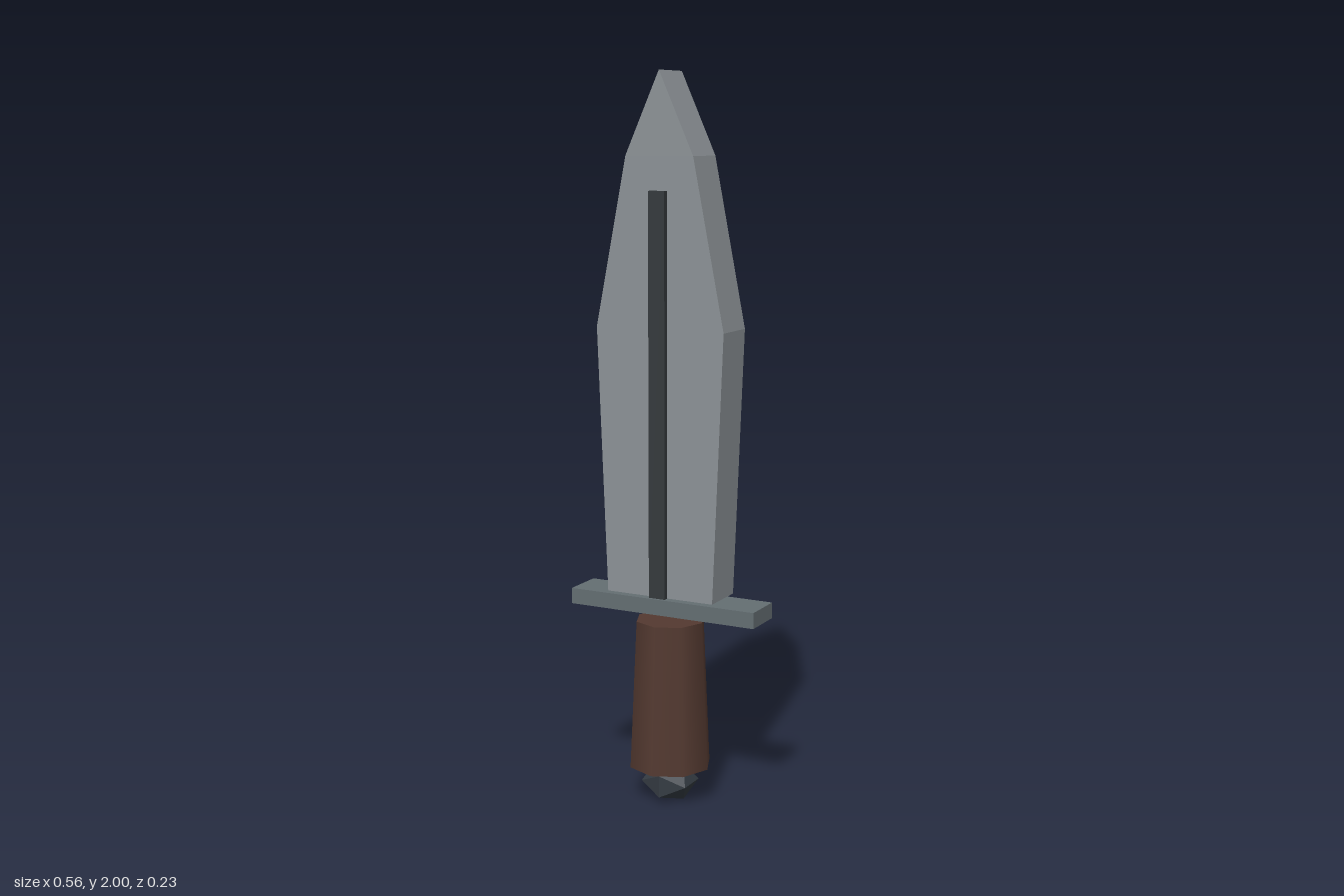
import * as THREE from 'three';

export function createModel() {
  const model = new THREE.Group();

  function add(name, geometry, color, y, z = 0, flatShading = true) {
    const material = new THREE.MeshStandardMaterial({ color, flatShading });
    const mesh = new THREE.Mesh(geometry, material);
    mesh.name = name;
    mesh.position.set(0, y, z);
    model.add(mesh);
    return mesh;
  }

  // Leaf-shaped blade: right half of the outline, mirrored to the left
  const half = [[0.16, 0.593], [0.19, 1.325], [0.1, 1.78]];
  const outline = [
    ...half, [0, 2],
    ...half.map(([x, y]) => [-x, y]).reverse(),
  ].map(([x, y]) => new THREE.Vector2(x, y));
  const blade = new THREE.ExtrudeGeometry(new THREE.Shape(outline), { depth: 0.13, bevelEnabled: false });
  add('blade', blade, 0x8c9296, 0, -0.066);

  // Dark raised strip on the front of the blade only
  add('bladeStrip', new THREE.BoxGeometry(0.048, 1.097, 0.03), 0x34393c, 1.1415, 0.065);

  // Crossguard, floating just clear of blade and grip
  add('crossguard', new THREE.BoxGeometry(0.56, 0.044, 0.12), 0x646e72, 0.562, -0.001);

  // Eight-sided grip, wider at the bottom, smoothly shaded
  add('grip', new THREE.CylinderGeometry(0.097, 0.116, 0.419, 8), 0x533930, 0.3075, 0, false);

  // Squashed faceted pommel
  const pommel = add('pommel', new THREE.IcosahedronGeometry(0.08, 0), 0x343b42, 0.05);
  pommel.scale.y = 0.735;

  return model;
}
